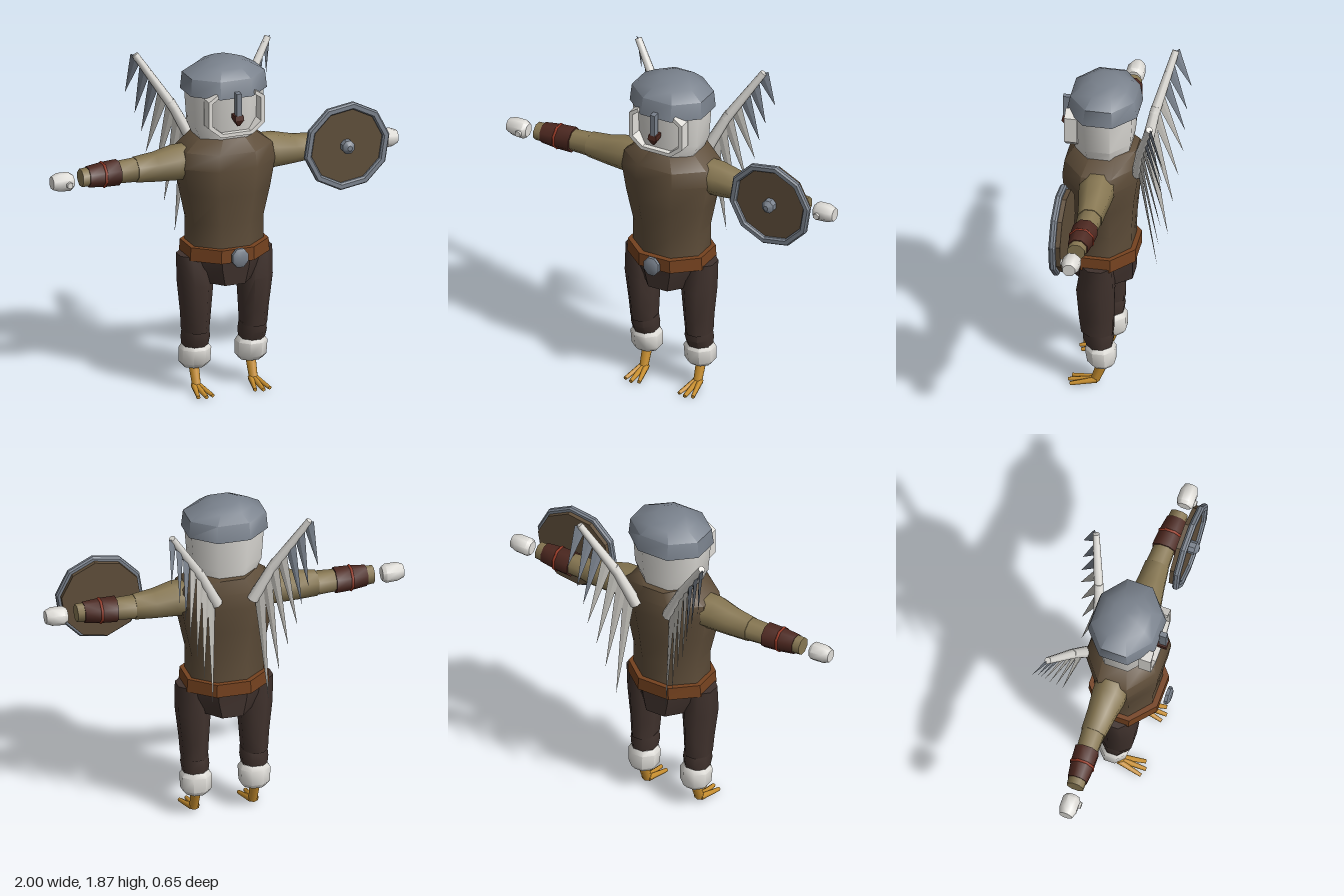
import * as THREE from 'three';
import { toCreasedNormals } from 'three/addons/utils/BufferGeometryUtils.js';

const paint = (name, color) => {
  const m = new THREE.MeshStandardMaterial({ color });
  m.name = name;
  return m;
};
const V = (x, y, z) => new THREE.Vector3(x, y, z);

// Closed skin through rings [height, centreX, centreZ, halfWidth, halfDepth]
function loft(rings, sides = 8, crease = 0.6) {
  const pos = [], idx = [], k = 1 / Math.cos(Math.PI / sides);
  for (const [y, cx, cz, rx, rz] of rings) {
    for (let i = 0; i < sides; i++) {
      const a = ((i + 0.5) / sides) * Math.PI * 2;
      pos.push(cx + Math.cos(a) * rx * k, y, cz + Math.sin(a) * rz * k);
    }
  }
  const last = rings.length - 1, c = rings.length * sides;
  for (const [y, cx, cz] of [rings[0], rings[last]]) pos.push(cx, y, cz);
  for (let i = 0; i < sides; i++) {
    const j = (i + 1) % sides;
    for (let r = 0; r < last; r++) {
      const a = r * sides + i, b = r * sides + j;
      idx.push(a, a + sides, b, b, a + sides, b + sides);
    }
    idx.push(c, i, j, c + 1, last * sides + j, last * sides + i);
  }
  const g = new THREE.BufferGeometry();
  g.setAttribute('position', new THREE.Float32BufferAttribute(pos, 3));
  g.setIndex(idx);
  return toCreasedNormals(g, crease);
}

// Loft laid along +x: rings [x, y, z, radius]
const armLoft = (rings, crease = 0.9) =>
  loft(rings.map(([x, y, z, r]) => [x, -y, z, r, r]), 8, crease).rotateZ(-Math.PI / 2);

// Tapered rod between two points
function rod(a, b, ra, rb, sides = 8) {
  const d = b.clone().sub(a);
  const g = new THREE.CylinderGeometry(rb, ra, d.length(), sides);
  g.applyQuaternion(new THREE.Quaternion().setFromUnitVectors(V(0, 1, 0), d.normalize()));
  const m = a.clone().add(b).multiplyScalar(0.5);
  return g.translate(m.x, m.y, m.z);
}

export function createModel() {
  const steel = paint('steel', 0x7a828d), white = paint('white down', 0xdfddd8);
  const vestCol = paint('vest brown', 0x5f4e3a), tan = paint('sleeve tan', 0x877752);
  const dark = paint('trouser brown', 0x40322d), leather = paint('belt leather', 0x75421f);
  const maroon = paint('bracer maroon', 0x4d2820), red = paint('band red', 0x963824);
  const yellow = paint('foot yellow', 0xcb9130), pale = paint('feather grey', 0xbcbab4);

  const model = new THREE.Group();
  const add = (parent, name, geo, mat) => {
    const m = new THREE.Mesh(geo, mat);
    m.name = name;
    parent.add(m);
    return m;
  };

  // Trunk
  add(model, 'vest', loft([
    [0.82, 0, 0.085, 0.2, 0.165], [0.98, 0, 0.085, 0.2, 0.17], [1.15, 0, 0.09, 0.235, 0.188],
    [1.3, 0, 0.085, 0.262, 0.205], [1.39, 0, 0.08, 0.25, 0.198], [1.47, 0, 0.06, 0.145, 0.165],
  ], 8, 0.9), vestCol);
  add(model, 'belt', loft([[0.775, 0, 0.087, 0.23, 0.195], [0.85, 0, 0.087, 0.225, 0.195]]), leather);
  add(model, 'buckle', loft([
    [0.302, 0, -0.81, 0.045, 0.052], [0.32, 0, -0.81, 0.045, 0.052], [0.33, 0, -0.81, 0.03, 0.035],
  ]).rotateX(Math.PI / 2), steel);
  add(model, 'hips', loft([
    [0.635, 0, 0.08, 0.14, 0.165], [0.73, 0, 0.083, 0.185, 0.17], [0.79, 0, 0.085, 0.195, 0.175],
  ]), dark);

  // Head, cap and face
  add(model, 'head', loft([
    [1.45, 0, 0.08, 0.16, 0.145], [1.52, 0, 0.082, 0.19, 0.16], [1.74, 0, 0.085, 0.205, 0.175],
  ], 8, 0.9), white);
  add(model, 'cap', loft([
    [1.705, 0, 0.077, 0.22, 0.192], [1.8, 0, 0.075, 0.212, 0.175],
    [1.845, 0, 0.07, 0.14, 0.125], [1.872, 0, 0.07, 0.075, 0.075],
  ], 8, 0.9), steel);
  const cheek = new THREE.Shape([
    [-0.11, 1.735], [-0.162, 1.7], [-0.162, 1.55], [-0.09, 1.49], [0.09, 1.49], [0.162, 1.55], [0.162, 1.7],
    [0.11, 1.735], [0.105, 1.715], [0.14, 1.69], [0.14, 1.56], [0.08, 1.51], [-0.08, 1.51], [-0.14, 1.56],
    [-0.14, 1.69], [-0.105, 1.715],
  ].map(([x, y]) => new THREE.Vector2(x, y)));
  add(model, 'cheekRuff', new THREE.ExtrudeGeometry(cheek, { depth: 0.07, bevelEnabled: false }).translate(0, 0, 0.2), white);
  add(model, 'noseGuard', new THREE.BoxGeometry(0.028, 0.14, 0.04).translate(0, 1.67, 0.285), steel);
  add(model, 'beak', loft([
    [1.555, 0, 0.285, 0.006, 0.01], [1.59, 0, 0.285, 0.026, 0.025], [1.615, 0, 0.275, 0.024, 0.03],
  ], 4), maroon);

  // Parts found on both sides, built for +x
  for (const s of [1, -1]) {
    const side = new THREE.Group();
    side.name = s > 0 ? 'leftLimbs' : 'rightLimbs';
    side.scale.x = s;
    model.add(side);

    // Arm
    add(side, 'upperArm', armLoft([
      [0.18, 1.315, 0.075, 0.092], [0.29, 1.315, 0.075, 0.09], [0.4, 1.303, 0.07, 0.075], [0.51, 1.3, 0.065, 0.065],
    ]), tan);
    add(side, 'forearm', armLoft([
      [0.49, 1.3, 0.065, 0.062], [0.62, 1.3, 0.068, 0.056], [0.83, 1.3, 0.078, 0.046],
    ]), tan);
    add(side, 'bracer', armLoft([
      [0.61, 1.3, 0.068, 0.066], [0.7, 1.3, 0.072, 0.063], [0.79, 1.3, 0.076, 0.053],
    ]), maroon);
    add(side, 'bracerBand', new THREE.TorusGeometry(0.066, 0.008, 6, 8, Math.PI * 2)
      .rotateZ(Math.PI / 8).rotateY(Math.PI / 2).translate(0.7, 1.3, 0.072), red);
    add(side, 'hand', armLoft([
      [0.88, 1.292, 0.085, 0.035], [0.9, 1.292, 0.085, 0.048], [0.965, 1.295, 0.085, 0.047], [1.0, 1.295, 0.085, 0.034],
    ]), white);
    add(side, 'thumb', rod(V(0.915, 1.287, 0.1), V(0.915, 1.287, 0.145), 0.024, 0.018, 6), white);

    // Leg
    add(side, 'thigh', loft([
      [0.35, 0.168, 0.085, 0.068, 0.085], [0.45, 0.168, 0.09, 0.074, 0.092],
      [0.63, 0.172, 0.095, 0.09, 0.1], [0.79, 0.18, 0.085, 0.085, 0.085],
    ], 8, 0.9), dark);
    add(side, 'shin', loft([
      [0.24, 0.165, 0.07, 0.064, 0.06], [0.31, 0.165, 0.08, 0.072, 0.08], [0.36, 0.165, 0.085, 0.068, 0.075],
    ], 8, 0.9), dark);
    add(side, 'cuff', loft([
      [0.14, 0.163, 0.06, 0.06, 0.055], [0.165, 0.163, 0.063, 0.08, 0.074],
      [0.245, 0.163, 0.07, 0.082, 0.08], [0.272, 0.163, 0.07, 0.065, 0.065],
    ], 8, 0.9), white);

    // Foot with three toes
    add(side, 'shank', rod(V(0.165, 0.15, 0.055), V(0.165, 0.03, 0.1), 0.03, 0.025), yellow);
    for (const t of [-1, 0, 1]) {
      add(side, 'toe', rod(V(0.165 + t * 0.012, 0.036, 0.09), V(0.165 + t * 0.042, 0.014, 0.245 - Math.abs(t) * 0.015),
        0.018, 0.011, 6), yellow);
    }

    // Wing bones and hanging feathers
    const root = V(0.1, 1.35, -0.12), elbow = V(0.215, 1.58, -0.162), tip = V(0.385, 1.84, -0.238);
    add(side, 'wingUpperBone', rod(root, elbow, 0.033, 0.026), white);
    add(side, 'wingOuterBone', rod(elbow.clone().lerp(root, 0.15), tip, 0.028, 0.019), white);
    const bone = tip.clone().sub(root).normalize();
    const tips = [
      [0.41, 1.6, -0.32], [0.36, 1.48, -0.305], [0.325, 1.37, -0.3], [0.3, 1.25, -0.295],
      [0.255, 1.12, -0.277], [0.21, 0.97, -0.257], [0.155, 0.8, -0.238],
    ];
    tips.forEach((p, i) => {
      const u = 0.98 - i * 0.14;
      const base = u > 0.47 ? elbow.clone().lerp(tip, (u - 0.47) / 0.53) : root.clone().lerp(elbow, u / 0.47);
      const dir = V(...p).sub(base), len = dir.length();
      dir.normalize();
      const z = bone.clone().cross(dir).normalize(), x = dir.clone().cross(z);
      const g = new THREE.ConeGeometry(0.034, len, 4).toNonIndexed().scale(1, 1, 0.25).translate(0, len / 2, 0);
      g.computeVertexNormals();
      g.applyMatrix4(new THREE.Matrix4().makeBasis(x, dir, z).setPosition(base));
      add(side, 'feather', g, i < 3 ? steel : pale);
    });
  }

  // Round shield on the left arm
  const shield = new THREE.Group();
  shield.name = 'shield';
  shield.position.set(0.665, 1.302 + 0.02, 0.155);
  model.add(shield);
  const disc = (r) => Array.from({ length: 10 }, (_, i) => {
    const a = ((i + 0.25) / 10) * Math.PI * 2;
    return new THREE.Vector2(Math.cos(a) * r, Math.sin(a) * r);
  });
  add(shield, 'shieldBoard', new THREE.ExtrudeGeometry(new THREE.Shape(disc(0.225)),
    { depth: 0.04, bevelEnabled: false }), vestCol);
  const rim = new THREE.Shape(disc(0.24));
  rim.holes.push(new THREE.Path(disc(0.217)));
  add(shield, 'shieldRim', new THREE.ExtrudeGeometry(rim,
    { depth: 0.016, bevelThickness: 0.01, bevelSize: 0.008, bevelSegments: 1 }).translate(0, 0, 0.035), steel);
  add(shield, 'shieldBoss', loft([
    [0.035, 0, 0, 0.034, 0.036], [0.075, 0, 0, 0.034, 0.036], [0.095, 0, 0, 0.012, 0.014],
  ]).rotateX(Math.PI / 2), steel);

  return model;
}
